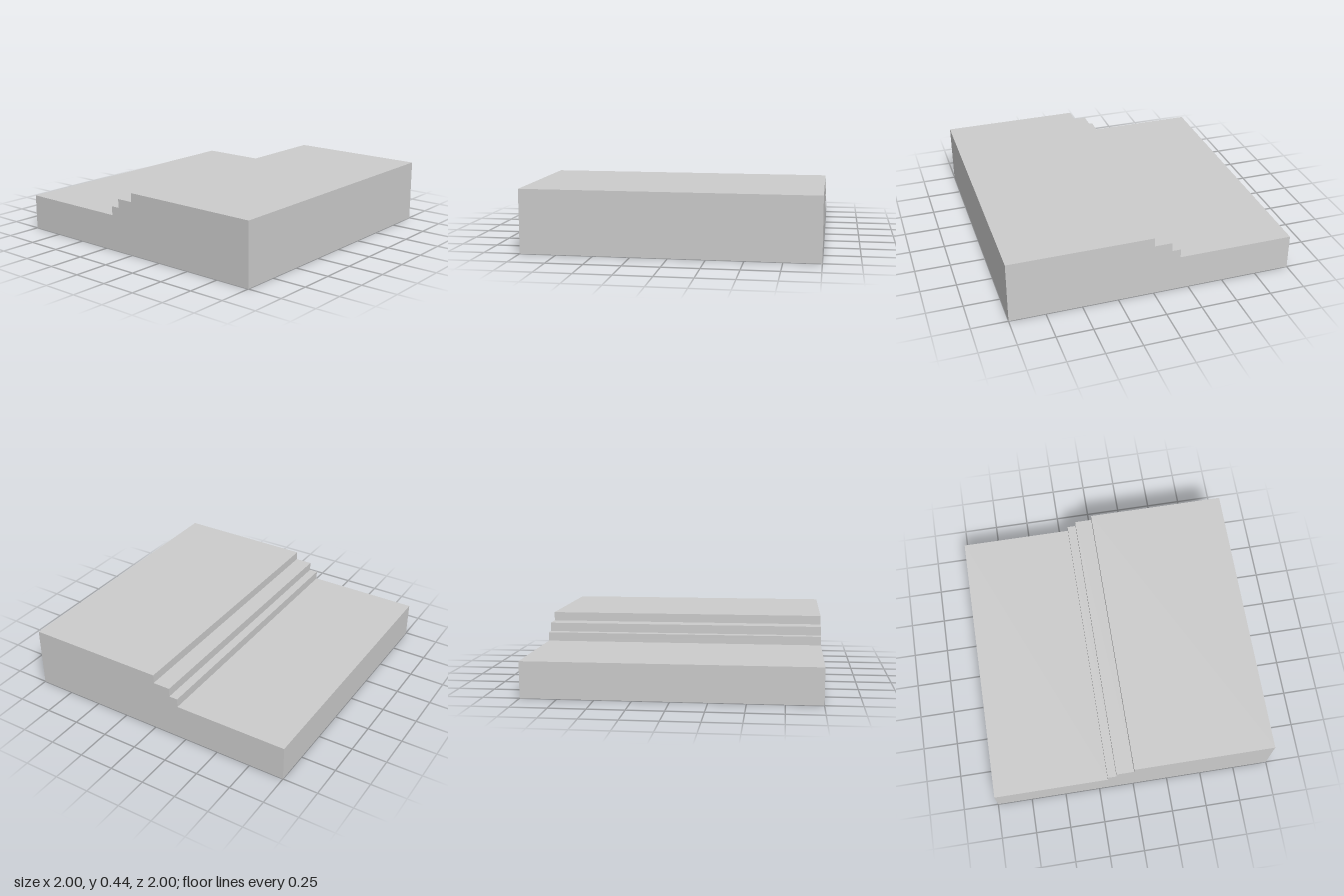
import * as THREE from 'three';

export function createModel() {
  const group = new THREE.Group();
  const material = new THREE.MeshStandardMaterial({ color: 0xcccccc, flatShading: true });

  // Side profile: [distance toward the back, height], from high terrace down to low terrace
  const profile = [
    [-1, 0], [1, 0], [1, 0.25],
    [0.1875, 0.25], [0.1875, 0.3125],
    [0.125, 0.3125], [0.125, 0.375],
    [0, 0.375], [0, 0.4375],
    [-1, 0.4375],
  ];
  const shape = new THREE.Shape(profile.map(([d, h]) => new THREE.Vector2(d, h)));

  // Sweep the profile across the full width, then turn it so it runs along x
  const geometry = new THREE.ExtrudeGeometry(shape, { depth: 2, bevelEnabled: false });
  geometry.translate(0, 0, -1);
  geometry.rotateY(Math.PI / 2);

  const slab = new THREE.Mesh(geometry, material);
  slab.name = 'steppedSlab';
  group.add(slab);
  return group;
}
